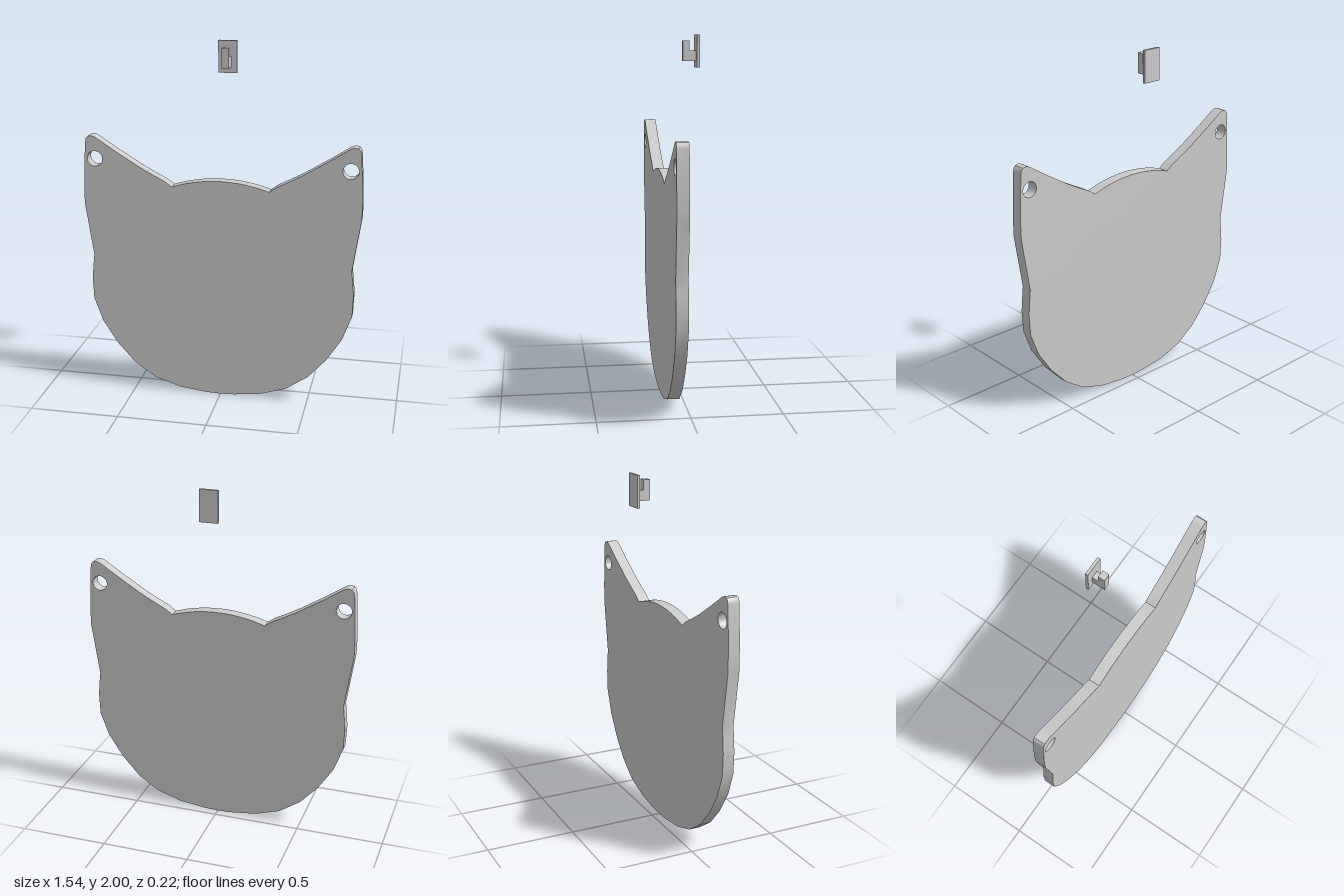
import * as THREE from 'three';
import { toCreasedNormals } from 'three/addons/utils/BufferGeometryUtils.js';

const material = new THREE.MeshStandardMaterial({ color: 0xcccccc });

function extrude(shape, depth, curveSegments = 16) {
  return new THREE.ExtrudeGeometry(shape, { depth, bevelEnabled: false, curveSegments });
}

function addMesh(group, name, geometry) {
  const mesh = new THREE.Mesh(geometry, material);
  mesh.name = name;
  group.add(mesh);
  return mesh;
}

// Cat-head outline: half profile from chin to ear root, mirrored, closed by the crown arc
function headShape() {
  const half = [
    [0.08, 0.003], [0.235, 0.022], [0.381, 0.069], [0.503, 0.153], [0.603, 0.265],
    [0.688, 0.397], [0.738, 0.534], [0.741, 0.62], [0.743, 0.656], [0.736, 0.73], [0.728, 0.8],
    [0.772, 1.1], [0.772, 1.2], [0.767, 1.31], [0.757, 1.455], [0.753, 1.472],
    [0.743, 1.484], [0.726, 1.488], [0.712, 1.486], [0.698, 1.48], [0.59, 1.41],
    [0.46, 1.33], [0.37, 1.281], [0.31, 1.251], [0.27, 1.222],
  ].map(([x, y]) => new THREE.Vector2(x, y));

  const crown = [];
  const radius = 0.833, sweep = 0.33;
  for (let i = 1; i < 16; i++) {
    const a = sweep * (1 - i / 8);
    crown.push(new THREE.Vector2(radius * Math.sin(a), 1.267 - radius * (1 - Math.cos(a))));
  }
  const mirrored = half.map((p) => new THREE.Vector2(-p.x, p.y)).reverse();
  const shape = new THREE.Shape([new THREE.Vector2(0, 0), ...half, ...crown, ...mirrored]);

  // Round hole through each ear
  for (const side of [-1, 1]) {
    shape.holes.push(new THREE.Path().absarc(side * 0.705, 1.36, 0.043, 0, Math.PI * 2, true));
  }
  return shape;
}

export function createModel() {
  const model = new THREE.Group();
  model.name = 'catHeadPlateWithClip';

  // Flat cat-head plate
  const plate = addMesh(model, 'catHeadPlate', toCreasedNormals(extrude(headShape(), 0.065), 0.5));
  plate.position.z = 0.046;

  // Small separate clip floating above the plate
  const clip = new THREE.Group();
  clip.name = 'clip';
  model.add(clip);

  const back = addMesh(clip, 'clipBack', new THREE.BoxGeometry(0.104, 0.176, 0.016));
  back.position.set(0, 1.912, -0.103);

  // L-shaped hook, drawn as (z, y) and turned to run along x
  const hook = new THREE.Shape([
    [-0.097, 1.858], [-0.022, 1.858], [-0.022, 1.969],
    [-0.059, 1.969], [-0.059, 1.915], [-0.097, 1.915],
  ].map(([z, y]) => new THREE.Vector2(-z, y)));
  const hookMesh = addMesh(clip, 'clipHook', extrude(hook, 0.04));
  hookMesh.rotation.y = Math.PI / 2;
  hookMesh.position.x = -0.02;

  return model;
}
